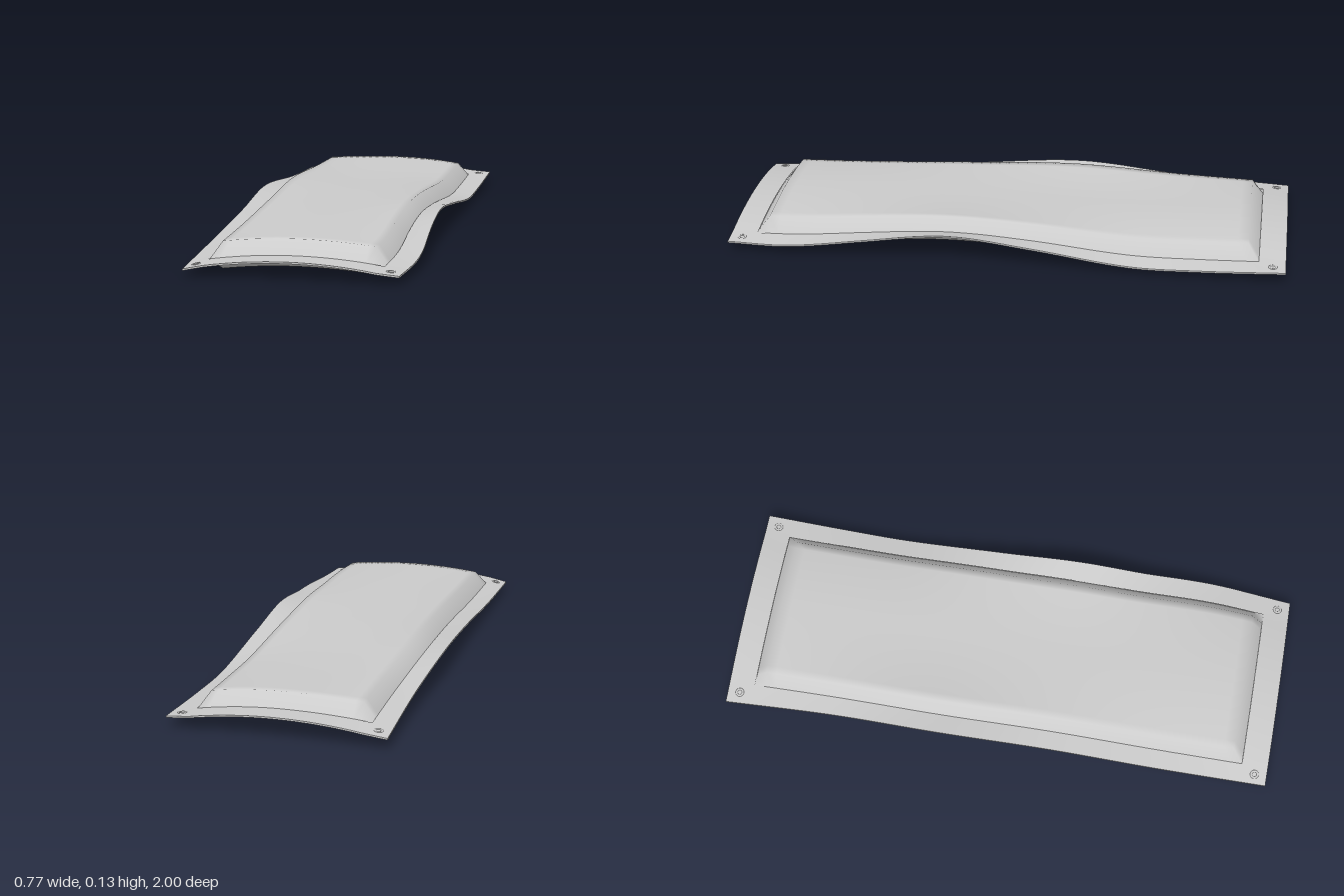
import * as THREE from 'three';
import { toCreasedNormals } from 'three/addons/utils/BufferGeometryUtils.js';

const SX = 0.3, SZ = 0.905, OX = 0.37, OZ = 1; // stitched seam and outer hem half sizes
const { lerp } = THREE.MathUtils;

// Smooth curve through values listed at [z, value]
function track(points) {
  const m = points.map((p, i) => {
    const a = points[Math.max(i - 1, 0)], b = points[Math.min(i + 1, points.length - 1)];
    return (b[1] - a[1]) / (b[0] - a[0]);
  });
  return (z) => {
    let i = 0;
    while (i < points.length - 2 && z > points[i + 1][0]) i++;
    const [z0, y0] = points[i], [z1, y1] = points[i + 1], d = z1 - z0, t = (z - z0) / d;
    const t2 = t * t, t3 = t2 * t;
    return (2 * t3 - 3 * t2 + 1) * y0 + (t3 - 2 * t2 + t) * d * m[i]
      + (3 * t2 - 2 * t3) * y1 + (t3 - t2) * d * m[i + 1];
  };
}

// Waviness of the middle line, and of the seam and hem on each long side
const middleY = track([[-1, 0.07], [-0.5, 0.058], [0, 0.065], [0.4, 0.066], [1, 0.058]]);
const sides = {
  right: {
    seamX: track([[-1, 0.295], [-0.4, 0.296], [0, 0.29], [0.4, 0.293], [0.72, 0.305], [1, 0.29]]),
    seamY: track([[-1, 0.045], [-0.7, 0.037], [-0.45, 0.037], [-0.1, 0.068], [0.2, 0.083], [0.5, 0.065], [0.8, 0.042], [1, 0.034]]),
    hemX: track([[-1, 0.37], [-0.4, 0.365], [0, 0.36], [0.4, 0.366], [0.72, 0.382], [1, 0.362]]),
    hemY: track([[-1, 0.04], [-0.7, 0.027], [-0.45, 0.026], [-0.1, 0.07], [0.2, 0.1], [0.5, 0.068], [0.8, 0.034], [1, 0.028]]),
  },
  left: {
    seamX: track([[-1, 0.31], [-0.6, 0.309], [-0.2, 0.315], [0.2, 0.303], [0.6, 0.298], [1, 0.293]]),
    seamY: track([[-1, 0.045], [-0.6, 0.065], [-0.2, 0.085], [0.2, 0.068], [0.6, 0.045], [1, 0.034]]),
    hemX: track([[-1, 0.386], [-0.6, 0.377], [-0.2, 0.386], [0.2, 0.372], [0.6, 0.367], [1, 0.358]]),
    hemY: track([[-1, 0.036], [-0.6, 0.062], [-0.2, 0.093], [0.2, 0.068], [0.6, 0.04], [1, 0.02]]),
  },
};

// Bend a flat point onto the wavy sheet
function warp(x, z, h = 0) {
  const s = x < 0 ? sides.left : sides.right, a = Math.abs(x), sign = Math.sign(x);
  if (a <= SX) {
    const t = a / SX;
    return new THREE.Vector3(sign * t * s.seamX(z), lerp(middleY(z), s.seamY(z), t * t) + h, z);
  }
  const w = (a - SX) / (OX - SX);
  return new THREE.Vector3(sign * lerp(s.seamX(z), s.hemX(z), w), lerp(s.seamY(z), s.hemY(z), w) + h, z);
}

// Surface from rows of points
function skin(rows, flip = false) {
  const n = rows[0].length, index = [];
  for (let i = 0; i < rows.length - 1; i++) {
    for (let j = 0; j < n - 1; j++) {
      const a = i * n + j, b = a + 1, c = a + n, d = c + 1;
      index.push(...(flip ? [a, b, c, b, d, c] : [a, c, b, b, c, d]));
    }
  }
  const g = new THREE.BufferGeometry().setFromPoints(rows.flat());
  g.setIndex(index);
  g.computeVertexNormals();
  return g;
}

// Evenly spaced stations with a narrow sloping border at each end
function stations(border, count) {
  const inner = Array.from({ length: count + 1 }, (_, i) => lerp(-border, border, i / count));
  return [-1, ...inner, 1];
}

export function createModel() {
  const group = new THREE.Group();
  const material = new THREE.MeshStandardMaterial({ color: 0xcccccc, side: THREE.DoubleSide });
  const add = (name, geometry) => {
    const mesh = new THREE.Mesh(geometry, material);
    mesh.name = name;
    group.add(mesh);
    return mesh;
  };

  // Padded panel: upper and lower skins meeting at the seam
  const us = stations(0.875, 20), vs = stations(0.955, 48);
  const panel = (puff) => vs.map((v) => us.map((u) =>
    warp(u * SX, v * SZ, Math.abs(u) === 1 || Math.abs(v) === 1 ? 0 : puff)));
  add('paddingTop', skin(panel(0.051)));
  add('paddingBottom', skin(panel(-0.042), true));

  // Flat hem: closed strip running round the seam
  const corners = [[1, 1], [1, -1], [-1, -1], [-1, 1]];
  const rim = [];
  corners.forEach((c, k) => {
    const d = corners[(k + 1) % 4], steps = k % 2 ? 20 : 48;
    for (let i = 0; i < steps; i++) rim.push([lerp(c[0], d[0], i / steps), lerp(c[1], d[1], i / steps)]);
  });
  rim.push(rim[0]);
  const section = [[0, 0.003], [0.5, 0.003], [1, 0.003], [1, -0.003], [0.5, -0.003], [0, -0.003]];
  const hem = rim.map(([u, v]) => section.map(([w, h]) =>
    warp(u * lerp(SX, OX, w), v * lerp(SZ, OZ, w), h)));
  add('hem', toCreasedNormals(skin(hem, true), 0.9));

  // Eyelets in the four corners, lying on the hem
  for (const [sx, sz] of corners) {
    const x = sx * 0.332, z = sz * 0.955, e = 0.01;
    const dx = warp(x + e, z).sub(warp(x - e, z)), dz = warp(x, z + e).sub(warp(x, z - e));
    const eyelet = add('eyelet', new THREE.TorusGeometry(0.012, 0.005, 8, 20));
    eyelet.position.copy(warp(x, z));
    eyelet.quaternion.setFromUnitVectors(new THREE.Vector3(0, 0, 1), dz.cross(dx).normalize());
  }

  // Rest on the ground
  const box = new THREE.Box3().setFromObject(group);
  group.children.forEach((m) => { m.position.y -= box.min.y; });
  return group;
}
